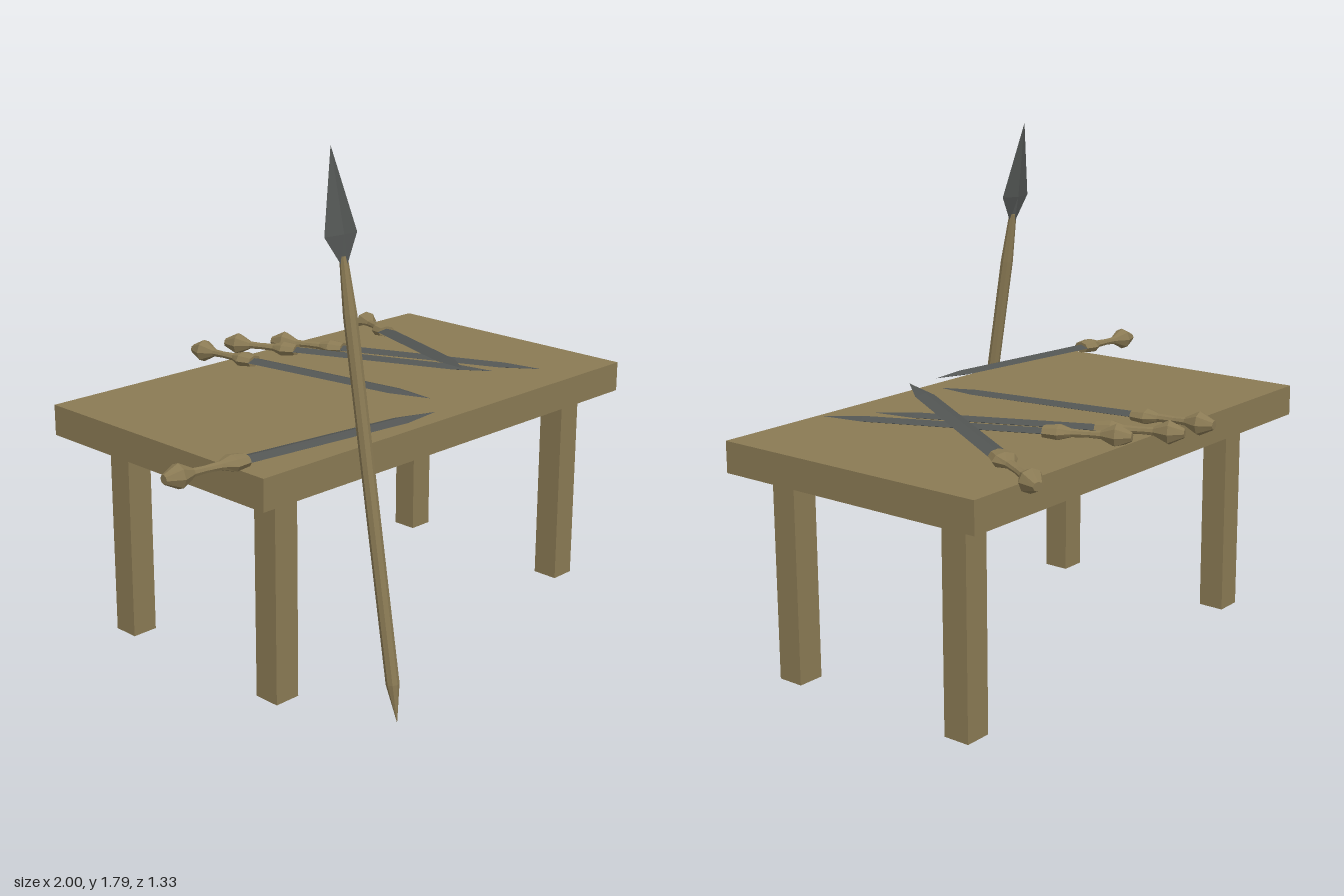
import * as THREE from 'three';

const wood = new THREE.MeshStandardMaterial({ name: 'wood', color: 0x8a7a54, flatShading: true });
const steel = new THREE.MeshStandardMaterial({ name: 'steel', color: 0x525553, flatShading: true });

// Skin elliptical rings [y, halfWidth, halfDepth] into a faceted solid
function loft(sections, sides) {
  const pos = [], index = [];
  sections.forEach(([y, w, d]) => {
    for (let j = 0; j < sides; j++) {
      const a = (j / sides) * Math.PI * 2;
      pos.push(Math.cos(a) * w, y, Math.sin(a) * d);
    }
  });
  for (let i = 0; i < sections.length - 1; i++) {
    for (let j = 0; j < sides; j++) {
      const k = (j + 1) % sides;
      const a = i * sides + j, b = i * sides + k, c = a + sides, d = b + sides;
      index.push(a, c, b, b, c, d);
    }
  }
  const g = new THREE.BufferGeometry();
  g.setAttribute('position', new THREE.Float32BufferAttribute(pos, 3));
  g.setIndex(index);
  const flat = g.toNonIndexed();
  flat.computeVertexNormals();
  return flat;
}

function part(name, geometry, material, parent) {
  const m = new THREE.Mesh(geometry, material);
  m.name = name;
  parent.add(m);
  return m;
}

// Pommel, grip and guard in one turned piece, then a diamond-section blade
const hiltGeometry = loft([
  [0, 0, 0], [0, 0.017, 0.015], [0.05, 0.041, 0.04], [0.1, 0.015, 0.014],
  [0.14, 0.013, 0.012], [0.195, 0.018, 0.014], [0.235, 0.043, 0.026],
  [0.285, 0.034, 0.02], [0.285, 0, 0],
], 8);
const bladeGeometry = loft([
  [0.26, 0, 0], [0.26, 0.036, 0.011], [0.89, 0.034, 0.01], [1.035, 0, 0],
], 4);

// Sword lying from its pommel end to its tip
function sword(from, to) {
  const g = new THREE.Group();
  g.name = 'sword';
  part('hilt', hiltGeometry, wood, g);
  part('blade', bladeGeometry, steel, g);
  const start = new THREE.Vector3(...from);
  const along = new THREE.Vector3(...to).sub(start);
  g.scale.setScalar(along.length() / 1.035);
  along.normalize();
  const side = new THREE.Vector3().crossVectors(along, new THREE.Vector3(0, 1, 0)).normalize();
  const up = new THREE.Vector3().crossVectors(side, along);
  g.quaternion.setFromRotationMatrix(new THREE.Matrix4().makeBasis(side, along, up));
  g.position.copy(start);
  return g;
}

export function createModel() {
  const model = new THREE.Group();
  model.name = 'weaponTable';

  // Table, turned slightly
  const table = new THREE.Group();
  table.name = 'table';
  table.position.set(0.112, 0, -0.025);
  table.rotation.y = 0.032;
  model.add(table);
  part('tableTop', new THREE.BoxGeometry(1.741, 0.105, 1.016), wood, table).position.y = 0.832;
  const legGeometry = new THREE.BoxGeometry(0.093, 0.695, 0.093);
  for (const x of [-0.706, 0.706]) {
    for (const z of [-0.354, 0.354]) {
      part('leg', legGeometry, wood, table).position.set(x + 0.012, 0.4225, z + 0.016);
    }
  }

  // Swords: four flat, one propped across two others
  [
    [[-1.0, 0.91, 0.376], [0.03, 0.91, 0.466]],
    [[-0.055, 0.91, -0.665], [0.125, 0.91, 0.355]],
    [[0.085, 0.91, -0.65], [0.52, 0.91, 0.285]],
    [[0.225, 0.91, -0.55], [0.66, 0.91, 0.38]],
    [[0.755, 0.885, -0.615], [0.32, 0.967, 0.315]],
  ].forEach(([from, to]) => model.add(sword(from, to)));

  // Spear leaning on the front edge
  const spear = new THREE.Group();
  spear.name = 'spear';
  spear.position.set(-0.332, 0.008, 0.665);
  spear.rotation.x = -0.17;
  model.add(spear);
  part('shaft', loft([
    [0, 0, 0], [0.13, 0.022, 0.022], [1.3, 0.022, 0.022], [1.48, 0.013, 0.013], [1.48, 0, 0],
  ], 8), wood, spear);
  part('spearHead', loft([
    [1.455, 0, 0], [1.455, 0.013, 0.014], [1.545, 0.068, 0.015], [1.812, 0, 0],
  ], 4), steel, spear);

  return model;
}
